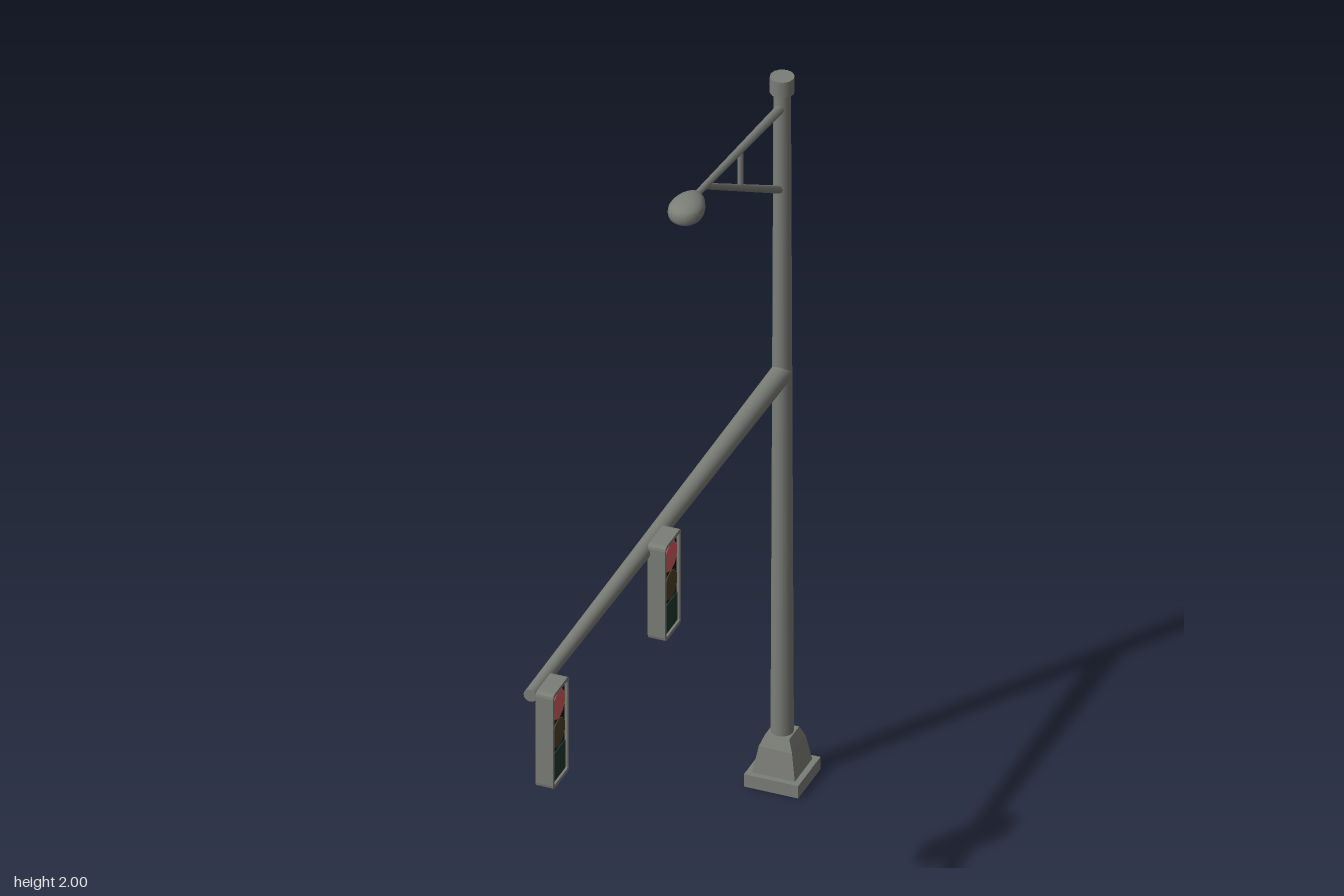
import * as THREE from 'three';

const paint = (name, color, extra = {}) => {
  const m = new THREE.MeshStandardMaterial({ color, ...extra });
  m.name = name;
  return m;
};

export function createModel() {
  const group = new THREE.Group();
  group.name = 'trafficSignalPole';
  const grey = paint('galvanisedGrey', 0x7c7e78);
  const greyFlat = paint('galvanisedGreyFlat', 0x7c7e78, { flatShading: true });
  const black = paint('signalBlack', 0x0d0f0e);
  const red = paint('signalRed', 0xd45c5c);
  const amber = paint('unlitAmber', 0x4b4023);
  const green = paint('unlitGreen', 0x20372f);
  const poleZ = -0.757;

  const add = (name, geometry, material, x = 0, y = 0, z = 0, parent = group) => {
    const mesh = new THREE.Mesh(geometry, material);
    mesh.name = name;
    mesh.position.set(x, y, z);
    parent.add(mesh);
    return mesh;
  };

  // Tapered round bar between two points in the x = 0 plane, given as [y, z]
  const bar = (name, [y0, z0], [y1, z1], r0, r1, sides = 12) => {
    const a = new THREE.Vector3(0, y0, z0), b = new THREE.Vector3(0, y1, z1);
    const dir = b.clone().sub(a);
    const mesh = add(name, new THREE.CylinderGeometry(r1, r0, dir.length(), sides), grey);
    mesh.position.copy(a).add(b).multiplyScalar(0.5);
    mesh.quaternion.setFromUnitVectors(new THREE.Vector3(0, 1, 0), dir.normalize());
  };

  // Square base: plate, sloping pedestal and shoulder, as [half width, height]
  const baseProfile = [[0, 0], [0.07, 0], [0.07, 0.035], [0.055, 0.035], [0.043, 0.105], [0.031, 0.135], [0, 0.135]];
  add('base', new THREE.LatheGeometry(
    baseProfile.map(([h, y]) => new THREE.Vector2(h * Math.SQRT2, y)), 4, Math.PI / 4), greyFlat, 0, 0, poleZ);

  // Pole and cap
  bar('pole', [0.12, poleZ], [1.96, poleZ], 0.028, 0.021, 16);
  bar('poleCap', [1.946, poleZ], [1.99, poleZ], 0.03, 0.03, 12);

  // Signal arm
  bar('signalArm', [1.151, poleZ], [1.176, 0.828], 0.027, 0.017, 16);

  // Lamp bracket
  bar('bracketTop', [1.904, poleZ], [1.977, -0.2], 0.012, 0.008, 8);
  bar('bracketBrace', [1.668, poleZ], [1.968, -0.27], 0.01, 0.008, 8);
  bar('bracketPost', [1.83, -0.495], [1.937, -0.495], 0.008, 0.008, 8);

  // Egg-shaped lamp head, narrower toward the bracket and flattened below
  const lamp = new THREE.SphereGeometry(1, 20, 14);
  const p = lamp.attributes.position;
  for (let i = 0; i < p.count; i++) {
    const x = p.getX(i), y = p.getY(i), z = p.getZ(i);
    const taper = 1 + 0.22 * z;
    const squareY = Math.sign(y) * Math.pow(Math.abs(y), 0.75);
    p.setXYZ(i, x * 0.042 * taper, squareY * (y < 0 ? 0.028 * taper : 0.031), z * 0.06);
  }
  lamp.computeVertexNormals();
  add('lampHead', lamp, grey, 0, 1.969, -0.165);

  // Rounded rectangle centred on the origin
  const roundedRect = (Type, w, h, r) => {
    const s = new Type(), x = w / 2, y = h / 2;
    s.moveTo(-x + r, -y).lineTo(x - r, -y).quadraticCurveTo(x, -y, x, -y + r);
    s.lineTo(x, y - r).quadraticCurveTo(x, y, x - r, y);
    s.lineTo(-x + r, y).quadraticCurveTo(-x, y, -x, y - r);
    s.lineTo(-x, -y + r).quadraticCurveTo(-x, -y, -x + r, -y);
    return s;
  };
  const extrude = (shape, depth) =>
    new THREE.ExtrudeGeometry(shape, { depth, bevelEnabled: false, curveSegments: 3 });

  const W = 0.1, H = 0.268;
  const housing = extrude(roundedRect(THREE.Shape, W, H, 0.012), 0.035);
  const rimShape = roundedRect(THREE.Shape, W, H, 0.012);
  rimShape.holes.push(roundedRect(THREE.Path, 0.082, 0.248, 0.005));
  const rim = extrude(rimShape, 0.01);
  const facePlate = new THREE.BoxGeometry(0.083, 0.249, 0.002);
  const lens = new THREE.CylinderGeometry(0.039, 0.039, 0.004, 10).rotateX(Math.PI / 2);
  const lowerLens = new THREE.BoxGeometry(0.08, 0.079, 0.004);

  // Two signals hung on the left side of the arm, facing sideways
  for (const [name, z] of [['outerSignal', 0.78], ['innerSignal', 0.075]]) {
    const signal = new THREE.Group();
    signal.name = name;
    signal.position.set(0.015, 1.056, z);
    signal.rotation.y = Math.PI / 2;
    group.add(signal);
    add('housing', housing, greyFlat, 0, 0, 0, signal);
    add('rim', rim, greyFlat, 0, 0, 0.035, signal);
    add('facePlate', facePlate, black, 0, 0, 0.036, signal);
    add('redLens', lens, red, 0, 0.08, 0.038, signal);
    add('amberLens', lens, amber, 0, 0, 0.038, signal);
    add('greenLens', lowerLens, green, 0, -0.083, 0.038, signal);
  }

  return group;
}
